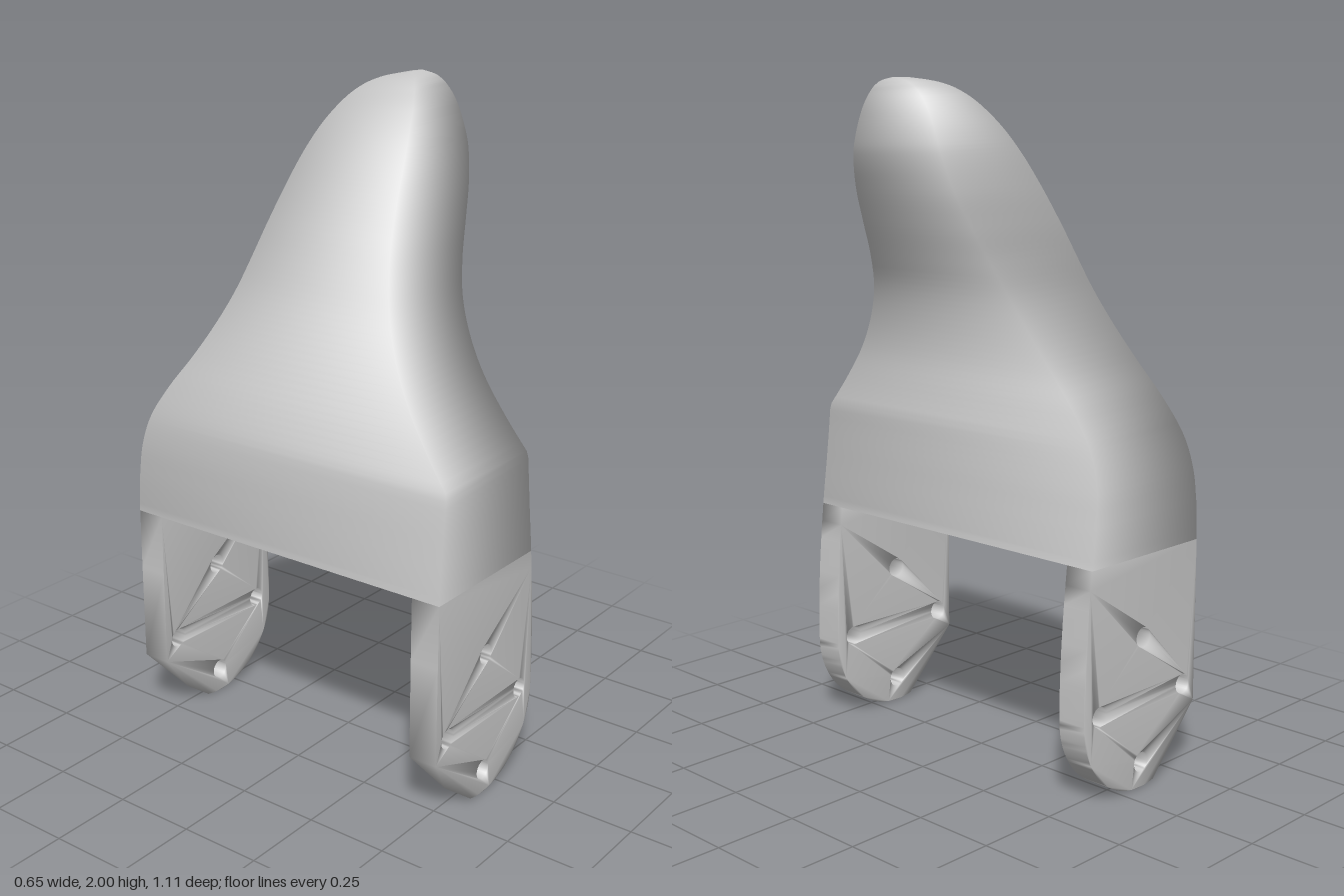
import * as THREE from 'three';
import { mergeVertices } from 'three/addons/utils/BufferGeometryUtils.js';

const SLOT_Y = 0.69, TOP_Y = 2;
const LEG_IN = 0.465, LEG_OUT = 0.555;

// Smooth outline: [y, value] pairs, held constant beyond either end.
function outline(pairs) {
  const track = new THREE.CubicInterpolant(pairs.map(p => p[0]), pairs.map(p => p[1]), 1);
  return y => track.evaluate(y)[0];
}

const xLeft = outline([[0.5, -0.325], [0.65, -0.325], [0.8, -0.318], [1, -0.3], [1.2, -0.26], [1.4, -0.195],
  [1.6, -0.11], [1.8, 0.01], [1.9, 0.09], [1.96, 0.155], [1.985, 0.2], [2, 0.26]]);
const xRight = outline([[0.25, 0.17], [0.33, 0.17], [0.5, 0.162], [0.7, 0.143], [0.85, 0.124], [1, 0.108],
  [1.1, 0.105], [1.2, 0.11], [1.3, 0.128], [1.4, 0.157], [1.5, 0.2], [1.6, 0.25], [1.7, 0.295], [1.8, 0.322], [1.83, 0.325], [2, 0.325]]);
const zFront = outline([[1, 0.555], [1.1, 0.475], [1.2, 0.4], [1.3, 0.338], [1.4, 0.29], [1.5, 0.257], [1.6, 0.232],
  [1.7, 0.21], [1.8, 0.187], [1.88, 0.16], [1.93, 0.136], [1.96, 0.113], [1.98, 0.09], [1.994, 0.057], [2, 0.02]]);
const zBack = outline([[0.8, -0.555], [0.9, -0.546], [1, -0.515], [1.1, -0.452], [1.2, -0.376], [1.3, -0.312],
  [1.4, -0.263], [1.5, -0.23], [1.6, -0.205], [1.7, -0.183], [1.8, -0.16], [1.88, -0.133], [1.93, -0.106],
  [1.96, -0.082], [1.98, -0.055], [1.994, -0.02], [2, 0.02]]);

// Curved body: rectangular sections stacked upwards, denser at the tip.
function bodyGeometry(rings = 90) {
  const pos = [], index = [];
  for (let i = 0; i <= rings; i++) {
    const y = SLOT_Y + (TOP_Y - SLOT_Y) * Math.sin((i / rings) * Math.PI / 2);
    const l = xLeft(y), r = xRight(y), f = zFront(y), b = zBack(y);
    pos.push(l, y, f, r, y, f, r, y, b, l, y, b);
    if (i === rings) break;
    for (let j = 0; j < 4; j++) {
      const a = i * 4 + j, c = i * 4 + (j + 1) % 4;
      index.push(a, c, c + 4, a, c + 4, a + 4);
    }
  }
  const geo = new THREE.BufferGeometry();
  geo.setAttribute('position', new THREE.Float32BufferAttribute(pos, 3));
  geo.setIndex(index);
  geo.computeVertexNormals();
  return geo;
}

// Mounting leg: rounded, chamfered plate with four bolt holes, open where it joins the body.
function legGeometry() {
  const s = new THREE.Shape();
  s.moveTo(xLeft(SLOT_Y), SLOT_Y);
  s.lineTo(-0.325, 0.5);
  s.lineTo(-0.325, 0.2);
  s.absarc(-0.08, 0.25, 0.25, -Math.PI * 0.58, 0, false);
  for (let i = 1; i <= 8; i++) {
    const y = 0.25 + (SLOT_Y - 0.25) * i / 8;
    s.lineTo(xRight(y), y);
  }
  for (let k = 0; k < 4; k++) {
    const a = k * Math.PI / 2;
    const hole = new THREE.Path();
    hole.absarc(-0.083 + 0.187 * Math.cos(a), 0.263 + 0.187 * Math.sin(a), 0.03, 0, Math.PI * 2, true);
    s.holes.push(hole);
  }
  let geo = new THREE.ExtrudeGeometry(s, { depth: LEG_OUT - LEG_IN, bevelEnabled: false, curveSegments: 16 });
  geo.deleteAttribute('normal');
  geo.deleteAttribute('uv');
  geo = mergeVertices(geo, 1e-4);
  const p = geo.attributes.position, kept = [];
  for (let i = 0; i < geo.index.count; i += 3) {
    const tri = [0, 1, 2].map(k => geo.index.getX(i + k));
    if (!tri.every(v => p.getY(v) > SLOT_Y - 1e-4)) kept.push(...tri);
  }
  geo.setIndex(kept);
  geo.computeVertexNormals();
  return geo;
}

export function createModel() {
  const group = new THREE.Group();
  const material = new THREE.MeshStandardMaterial({ color: 0xcccccc });
  const add = (name, geo) => {
    const mesh = new THREE.Mesh(geo, material);
    mesh.name = name;
    group.add(mesh);
    return mesh;
  };

  add('curvedBody', bodyGeometry());

  // Underside of the body between the legs
  const l = xLeft(SLOT_Y), r = xRight(SLOT_Y);
  const under = add('slotCeiling', new THREE.PlaneGeometry(r - l, LEG_IN * 2).rotateX(Math.PI / 2));
  under.position.set((l + r) / 2, SLOT_Y, 0);

  const leg = legGeometry();
  add('frontLeg', leg).position.z = LEG_IN;
  add('backLeg', leg).position.z = -LEG_OUT;
  return group;
}
